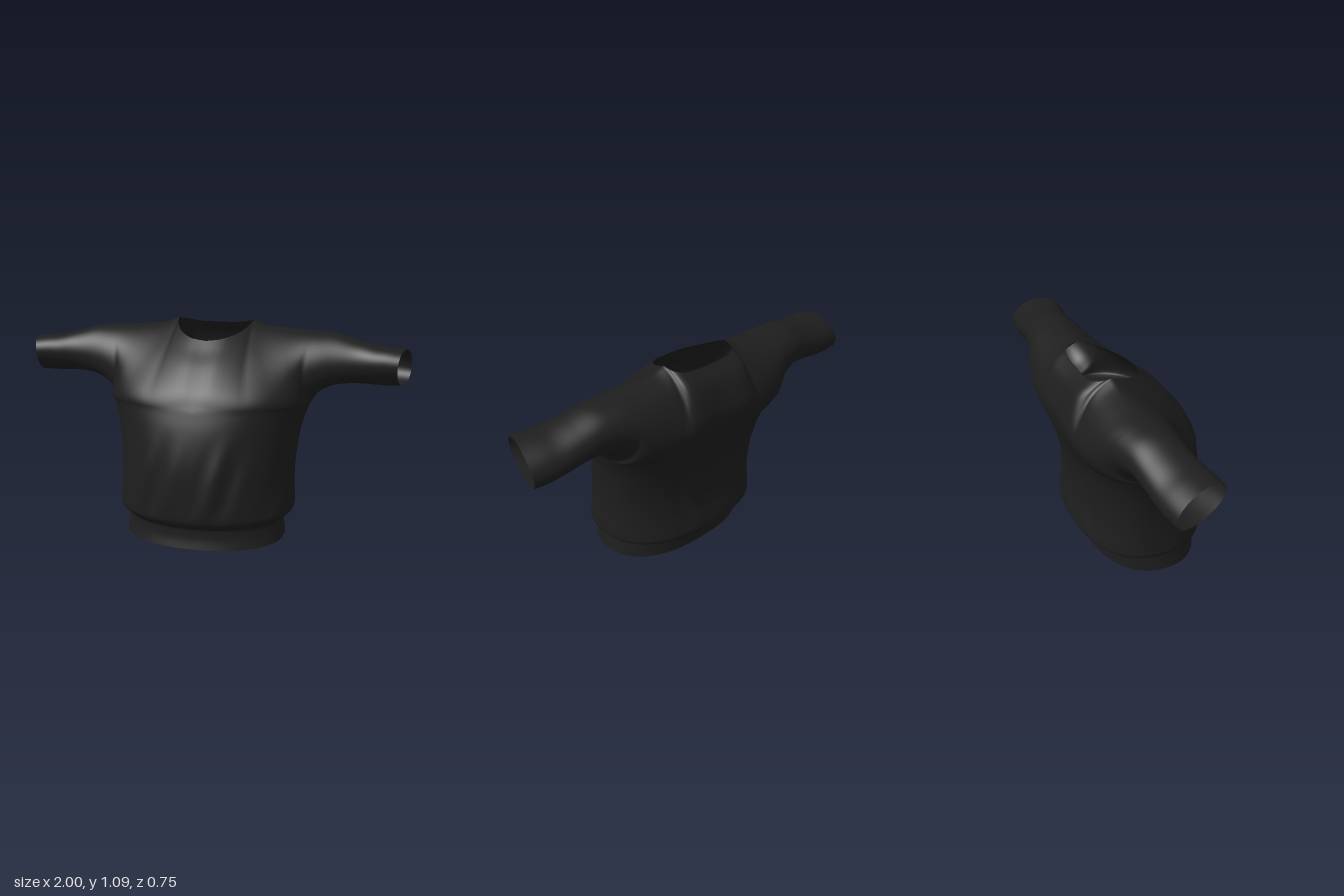
import * as THREE from 'three';
import { mergeGeometries, mergeVertices } from 'three/addons/utils/BufferGeometryUtils.js';

const PI = Math.PI;
const smooth = (t, a = 0, b = 1) => THREE.MathUtils.smoothstep(t, a, b);

// Catmull-Rom interpolation through rows of numbers, t in 0..1
function spline(rows, t) {
  const n = rows.length - 1;
  const i = Math.min(Math.floor(t * n), n - 1), k = t * n - i;
  const b = rows[i], c = rows[i + 1];
  const a = rows[i - 1] || b.map((v, j) => 2 * v - c[j]);
  const d = rows[i + 2] || c.map((v, j) => 2 * v - b[j]);
  return b.map((v, j) => v + 0.5 * k * (c[j] - a[j]
    + k * (2 * a[j] - 5 * v + 4 * c[j] - d[j]
    + k * (3 * (v - c[j]) + d[j] - a[j]))));
}

// Torso levels: height, half width, front z, back z
const BAND = [
  [0, 0.415, 0.335, -0.235], [0.05, 0.408, 0.325, -0.236], [0.1, 0.402, 0.326, -0.24],
];
const BODY = [
  [0.1, 0.402, 0.326, -0.24], [0.125, 0.432, 0.345, -0.285], [0.15, 0.455, 0.357, -0.308],
  [0.2, 0.455, 0.362, -0.305], [0.3, 0.45, 0.365, -0.29], [0.4, 0.452, 0.362, -0.286],
  [0.5, 0.462, 0.35, -0.295], [0.6, 0.482, 0.33, -0.315], [0.69, 0.515, 0.303, -0.343],
];
// Sleeve rings: x, bottom y, top y, front z, back z, tilt, slant, inward dip
const SLEEVE = [
  [0.515, 0.69, 1.045, 0.045, -0.315, 0.035, 0, 0.03],
  [0.56, 0.75, 1.043, 0.025, -0.3, 0.03, 0, 0.01],
  [0.64, 0.787, 1.037, 0.005, -0.282, 0.02, 0, 0],
  [0.74, 0.795, 1.01, 0, -0.27, 0, 0.005, 0],
  [0.83, 0.79, 0.99, 0.01, -0.26, -0.02, 0.01, 0],
  [0.9, 0.787, 0.984, 0.015, -0.25, -0.03, 0.02, 0],
  [0.97, 0.788, 0.976, 0.02, -0.235, -0.035, 0.03, 0],
];
// Centre lines above the chest, neck edges and shoulder seam
const CENTRE = {
  1: [[0, 0.69, 0.303], [0, 0.78, 0.258], [0, 0.88, 0.175], [0, 0.95, 0.098], [0, 1, 0.05]],
  [-1]: [[0, 0.69, -0.343], [0, 0.82, -0.365], [0, 0.9, -0.35], [0, 1, -0.31], [0, 1.06, -0.25]],
};
const NECK = {
  1: [[0, 1, 0.05], [0.08, 1.01, 0.035], [0.15, 1.035, -0.03], [0.187, 1.065, -0.1], [0.2, 1.09, -0.16]],
  [-1]: [[0, 1.06, -0.25], [0.1, 1.062, -0.25], [0.16, 1.072, -0.24], [0.192, 1.08, -0.21], [0.2, 1.09, -0.16]],
};
const SHOULDER = [[0.2, 1.09, -0.16], [0.27, 1.066, -0.155], [0.4, 1.052, -0.15], [0.515, 1.045, -0.145]];

// Quarter of a torso level from the centre (u=0) to the side seam (u=1)
function level(rows, u, v, s, f) {
  const [y, w, zf, zb] = spline(rows, v);
  const e = f > 0 ? 2 / 2.15 : 2 / 2.45;
  const side = 0.05 - 0.125 * y / 0.69;
  const c = u === 1 ? 0 : Math.cos(u * PI / 2);
  const x = w * Math.sin(u * PI / 2) ** e;
  let z = side + ((f > 0 ? zf : zb) - side) * c ** e;
  // slanting cloth folds above the waistband
  const fade = smooth(y, 0.11, 0.25) * (1 - smooth(y, 0.35, 0.62));
  const fold = Math.sin(34 * s * x - 9 * y + 1) + 0.6 * Math.sin(53 * s * x - 14 * y);
  z += f * (f > 0 ? 0.007 : 0.003) * fade * c * fold;
  // hem rises towards the back
  const lift = 0.03 * (1 - smooth(y, 0, 0.3)) * (0.335 - z) / 0.57;
  return [x, y + lift, z];
}

// Sleeve surface: u from armhole to cuff, angle from underarm over the front
function sleeve(u, angle) {
  const [x, yb, yt, zf, zb, tilt, slant, dip] = spline(SLEEVE, u);
  const sn = Math.sin(angle), cs = Math.cos(angle), zc = -0.11;
  return [
    x - slant * sn - dip * sn * sn,
    (yb + yt) / 2 - (yt - yb) / 2 * cs,
    zc + tilt * cs + (sn > 0 ? zf - zc : zc - zb) * sn,
  ];
}

// Upper panel blended between chest, neck and shoulder, centre line and armhole
function panel(u, v, s, f) {
  const B = (t) => level(BODY, t, 1, s, f);
  const T = (t) => t < 0.3 ? spline(NECK[f], t / 0.3) : spline(SHOULDER, (t - 0.3) / 0.7);
  const C = spline(CENTRE[f], v), E = sleeve(0, f * v * PI);
  const b = B(u), t = T(u), b0 = B(0), b1 = B(1), t0 = T(0), t1 = T(1), k = smooth(v);
  return C.map((c, j) => (1 - u) * c + u * E[j]
    + (1 - k) * (b[j] - (1 - u) * b0[j] - u * b1[j])
    + k * (t[j] - (1 - u) * t0[j] - u * t1[j]));
}

// Grid surface from a rule, mirrored to side s
function patch(rule, nu, nv, s, flip) {
  const pos = [], index = [];
  for (let j = 0; j <= nv; j++) {
    for (let i = 0; i <= nu; i++) {
      const [x, y, z] = rule(i / nu, j / nv);
      pos.push(s * x, y, z);
      if (i < nu && j < nv) {
        const a = j * (nu + 1) + i, b = a + 1, c = a + nu + 1, d = c + 1;
        index.push(...(flip ? [a, d, b, a, c, d] : [a, b, d, a, d, c]));
      }
    }
  }
  const g = new THREE.BufferGeometry();
  g.setAttribute('position', new THREE.Float32BufferAttribute(pos, 3));
  g.setIndex(index);
  return g;
}

export function createModel() {
  const group = new THREE.Group();
  group.name = 'sweatshirt';
  const material = new THREE.MeshStandardMaterial({ color: 0x1e1e1e, side: THREE.DoubleSide });

  const parts = [];
  const add = (name, geometry) => parts.push({ name, geometry });
  for (const s of [1, -1]) {
    const side = s > 0 ? 'left' : 'right';
    for (const f of [1, -1]) {
      const name = side + (f > 0 ? 'Front' : 'Back');
      add(name + 'Waistband', patch((u, v) => level(BAND, u, v, s, f), 30, 6, s, s * f < 0));
      add(name + 'Body', patch((u, v) => level(BODY, u, v, s, f), 30, 40, s, s * f < 0));
      add(name + 'Yoke', patch((u, v) => panel(u, v, s, f), 30, 24, s, s * f < 0));
    }
    add(side + 'Sleeve', patch((u, v) => sleeve(u, v * 2 * PI), 30, 48, s, s < 0));
  }

  // weld all panels so shading runs smoothly over the seams, then split by part
  const whole = mergeVertices(mergeGeometries(parts.map((p) => p.geometry)), 1e-4);
  whole.computeVertexNormals();
  let start = 0;
  for (const { name, geometry } of parts) {
    const count = geometry.index.count;
    const piece = new THREE.BufferGeometry();
    piece.setAttribute('position', whole.attributes.position);
    piece.setAttribute('normal', whole.attributes.normal);
    piece.setIndex(Array.from(whole.index.array.slice(start, start + count)));
    start += count;
    const mesh = new THREE.Mesh(piece.toNonIndexed(), material);
    mesh.name = name;
    group.add(mesh);
  }
  return group;
}
